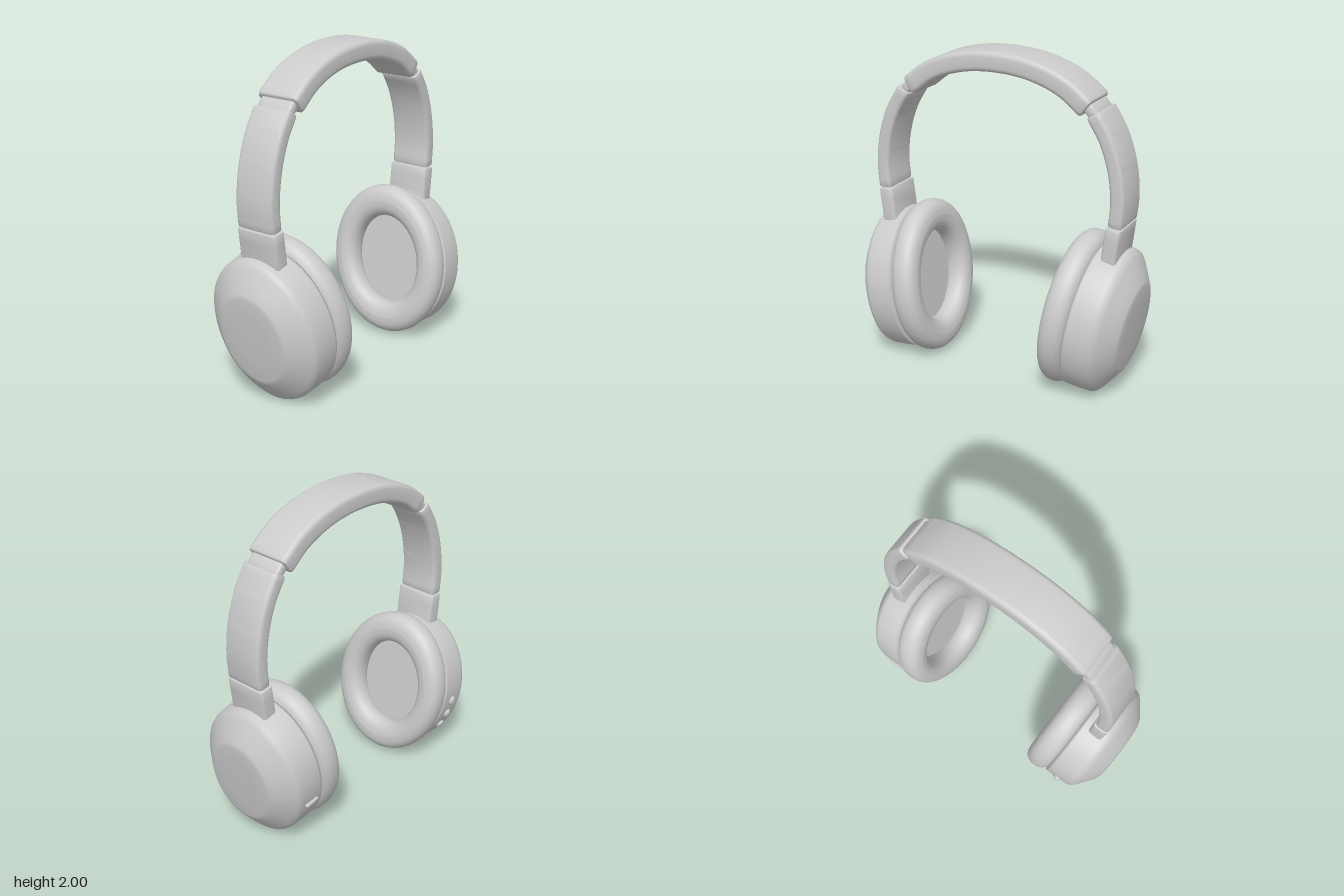
import * as THREE from 'three';
import { toCreasedNormals } from 'three/addons/utils/BufferGeometryUtils.js';

const mat = new THREE.MeshStandardMaterial({ color: 0xcccccc });
const OVAL = 0.825;                 // width / height of the ear cups
const TILT = 0.149, LEAN = 0.21;    // cup tilt outwards and lean within its plane
const BAND_X = -0.005;

function add(parent, name, geo) {
  const mesh = new THREE.Mesh(geo, mat);
  mesh.name = name;
  parent.add(mesh);
  return mesh;
}

// Rounded rectangle loop, counter-clockwise
function roundedLoop(w, t, r) {
  const loop = [];
  [[1, 1], [-1, 1], [-1, -1], [1, -1]].forEach(([sx, sy], q) => {
    for (let k = 0; k <= 4; k++) {
      const a = (q + k / 4) * Math.PI / 2;
      loop.push([sx * (w / 2 - r) + r * Math.cos(a), sy * (t / 2 - r) + r * Math.sin(a)]);
    }
  });
  return loop;
}

// Strap swept along a path of [z, y] points, with softly rounded ends
function strap(path, width, thick, round, bevel, steps) {
  const curve = new THREE.CatmullRomCurve3(path.map(([z, y]) => new THREE.Vector3(BAND_X, y, z)));
  const len = curve.getLength(), b = bevel / len;
  const stations = [[0, bevel], [b * 0.3, bevel * 0.3], [b, 0]];
  for (let i = 1; i < steps; i++) stations.push([b + (1 - 2 * b) * i / steps, 0]);
  stations.push([1 - b, 0], [1 - b * 0.3, bevel * 0.3], [1, bevel]);
  const X = new THREE.Vector3(1, 0, 0), pos = [], idx = [];
  let n = 0;
  stations.forEach(([u, inset]) => {
    const p = curve.getPointAt(u), N = curve.getTangentAt(u).cross(X).normalize();
    const loop = roundedLoop(width - 2 * inset, thick - 2 * inset, Math.max(round - inset, 0.004));
    n = loop.length;
    for (const [a, c] of loop) pos.push(p.x + a, p.y + N.y * c, p.z + N.z * c);
  });
  const last = (stations.length - 1) * n;
  for (let i = 0; i < last; i += n) {
    for (let j = 0; j < n; j++) {
      const k = (j + 1) % n;
      idx.push(i + j, i + k, i + n + j, i + k, i + n + k, i + n + j);
    }
  }
  // end caps
  for (let j = 1; j < n - 1; j++) idx.push(0, j + 1, j, last, last + j, last + j + 1);
  const geo = new THREE.BufferGeometry();
  geo.setAttribute('position', new THREE.Float32BufferAttribute(pos, 3));
  geo.setIndex(idx);
  return toCreasedNormals(geo, 0.75);
}

// Oval turned part; profile points are [radius, depth], depth running outwards
function ovalLathe(profile) {
  const geo = new THREE.LatheGeometry(profile.map(([r, d]) => new THREE.Vector2(r, d)), 48);
  return geo.rotateX(Math.PI / 2).scale(OVAL, 1, 1);
}

function earCup(side) {
  const cup = new THREE.Group();
  cup.name = side > 0 ? 'frontEarCup' : 'backEarCup';
  const pod = new THREE.Group();
  pod.name = 'cupPod';
  pod.rotation.set(TILT, 0, LEAN * side);
  pod.position.set(0, 0.465, 0.578);
  cup.add(pod);
  cup.rotation.y = side > 0 ? 0 : Math.PI;

  // housing with bevelled outer cap
  add(pod, 'housing', ovalLathe([
    [0.40, 0], [0.452, 0.004], [0.456, 0.02], [0.455, 0.09], [0.45, 0.165], [0.44, 0.19],
    [0.415, 0.21], [0.35, 0.252], [0.29, 0.288], [0.26, 0.298], [0.15, 0.302], [0, 0.303]]));
  // speaker cover at the bottom of the cushion opening
  add(pod, 'speakerCover', ovalLathe([[0, -0.035], [0.36, -0.035]]));
  // padded ring
  const ring = [];
  for (let i = 0; i <= 24; i++) {
    const a = -Math.PI / 2 + i / 24 * Math.PI * 2, c = Math.cos(a), s = Math.sin(a);
    ring.push([0.384 + 0.1 * Math.sign(c) * Math.abs(c) ** 0.85,
      -0.077 + 0.085 * Math.sign(s) * Math.abs(s) ** 0.9]);
  }
  add(pod, 'cushion', ovalLathe(ring)).position.y = 0.01;

  // controls along the rim
  const onRim = (mesh, deg, depth) => {
    const a = deg * Math.PI / 180;
    const x = 0.456 * OVAL * Math.cos(a), y = 0.456 * Math.sin(a);
    mesh.position.set(x * side, y, depth);
    mesh.rotation.z = Math.atan2(y, x * side * (1 / OVAL ** 2));
  };
  if (side > 0) {
    for (const deg of [175, 188, 201]) {
      const button = add(pod, 'button', new THREE.SphereGeometry(1, 16, 12).scale(0.018, 0.033, 0.026));
      onRim(button, deg, 0.09);
    }
  } else {
    const slider = add(pod, 'slider', new THREE.CapsuleGeometry(0.014, 0.075, 6, 12).rotateX(Math.PI / 2));
    onRim(slider, 185, 0.09);
  }
  return cup;
}

export function createModel() {
  const model = new THREE.Group();
  model.name = 'headphones';

  // padded crown of the headband
  const half = [[0.577, 1.737], [0.43, 1.845], [0.23, 1.917]];
  const crown = [...half, [0, 1.94], ...half.map(([z, y]) => [-z, y]).reverse()];
  add(model, 'headbandPad', strap(crown, 0.28, 0.12, 0.03, 0.015, 32));

  for (const side of [1, -1]) {
    const at = (pts) => pts.map(([z, y]) => [z * side, y]);
    // curved arm with its narrow joints at both ends
    add(model, 'arm', strap(at([[0.617, 1.708], [0.70, 1.57], [0.757, 1.405], [0.781, 1.22], [0.771, 1.067]]),
      0.26, 0.09, 0.025, 0.01, 20));
    add(model, 'upperJoint', strap(at([[0.56, 1.765], [0.632, 1.685]]), 0.235, 0.062, 0.02, 0.005, 2));
    add(model, 'lowerJoint', strap(at([[0.771, 1.09], [0.764, 1.03]]), 0.235, 0.065, 0.02, 0.005, 2));
    // stem running down into the cup
    add(model, 'stem', strap(at([[0.765, 1.06], [0.733, 0.80]]), 0.27, 0.094, 0.018, 0.01, 4));
    model.add(earCup(side));
  }
  return model;
}
